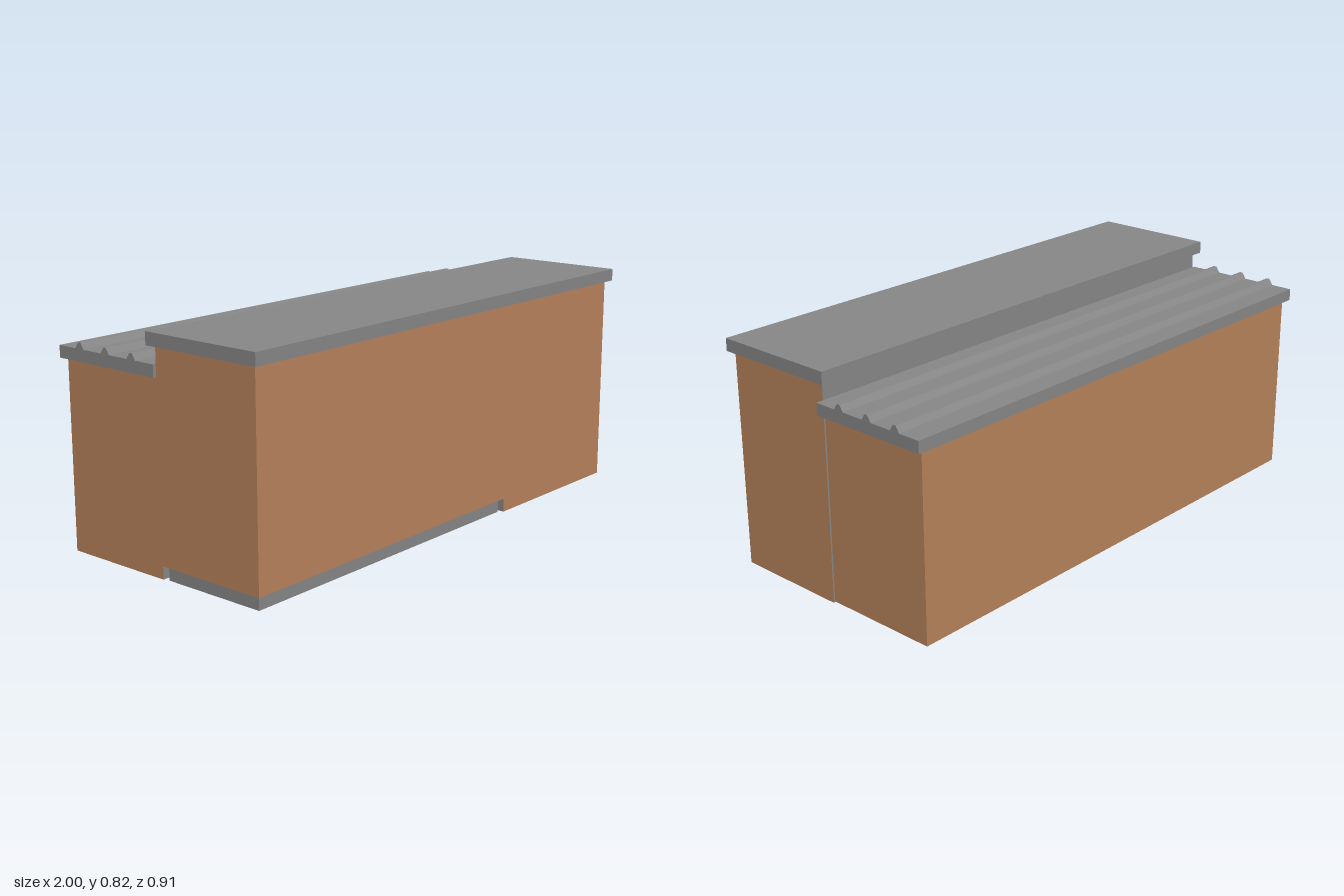
import * as THREE from 'three';

export function createModel() {
  const model = new THREE.Group();
  const brick = new THREE.MeshStandardMaterial({ color: 0xb8835c });
  brick.name = 'brick brown';
  const grey = new THREE.MeshStandardMaterial({ color: 0x888888 });
  grey.name = 'concrete grey';

  // Box given by its extents; material may be one or six (+x, -x, +y, -y, +z, -z)
  function block(name, [x0, x1], [y0, y1], [z0, z1], material, parent = model) {
    const mesh = new THREE.Mesh(new THREE.BoxGeometry(x1 - x0, y1 - y0, z1 - z0), material);
    mesh.position.set((x0 + x1) / 2, (y0 + y1) / 2, (z0 + z1) / 2);
    mesh.name = name;
    parent.add(mesh);
    return mesh;
  }

  // Tall front hall: outer walls brown, rear wall and underside grey, raised over the plinth
  const hall = new THREE.Group();
  hall.name = 'frontHall';
  model.add(hall);
  block('upperWalls', [-0.978, 0.973], [0.05, 0.78], [0, 0.432],
    [brick, brick, grey, grey, brick, grey], hall);
  block('lowerWalls', [0.32, 0.973], [0, 0.05], [0, 0.432],
    [brick, grey, grey, grey, brick, grey], hall);

  // Recessed plinth
  block('plinth', [-0.963, 0.305], [0, 0.05], [0.015, 0.417], grey);

  // Lower rear hall, grey where it meets the front hall
  block('rearHall', [-0.975, 0.967], [0.003, 0.677], [-0.432, 0],
    [brick, brick, grey, grey, grey, brick]);

  // Flat front roof overhanging on all sides
  block('frontRoof', [-1, 0.99], [0.78, 0.825], [-0.02, 0.455], grey);

  // Rear roof slab with three raised ribs, as one cross-section pulled along x
  const profile = [[0, 0.677], [0, 0.72]];
  for (const z of [0.103, 0.228, 0.353]) {
    profile.push([z - 0.02, 0.72], [z - 0.006, 0.742], [z + 0.006, 0.742], [z + 0.02, 0.72]);
  }
  profile.push([0.455, 0.72], [0.455, 0.677]);
  const shape = new THREE.Shape(profile.map(([z, y]) => new THREE.Vector2(z, y)));
  const roofGeometry = new THREE.ExtrudeGeometry(shape, { depth: 1.99, bevelEnabled: false });
  roofGeometry.rotateY(Math.PI / 2);
  roofGeometry.translate(-0.99, 0, 0);
  const rearRoof = new THREE.Mesh(roofGeometry, grey);
  rearRoof.name = 'ribbedRearRoof';
  model.add(rearRoof);

  return model;
}
